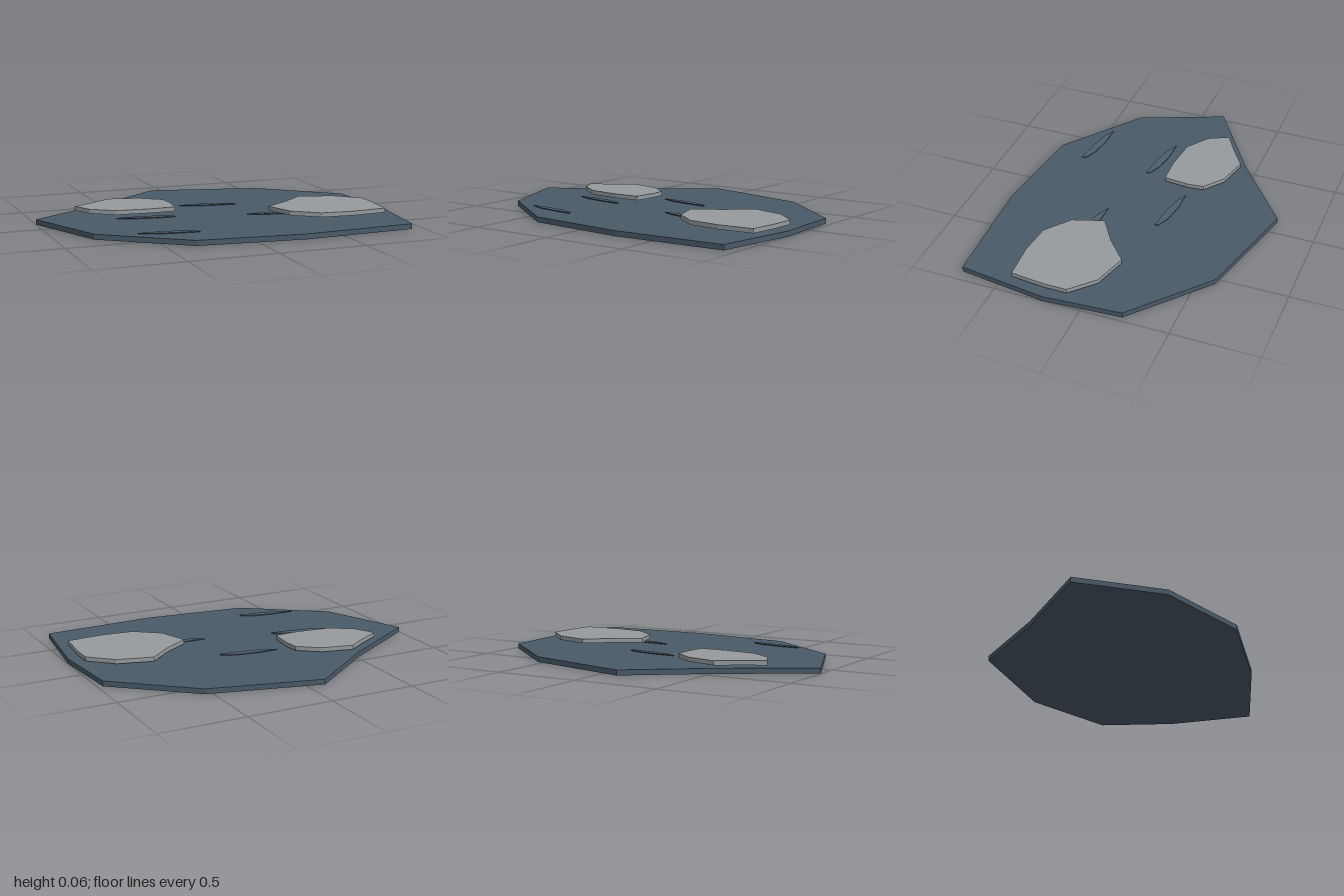
import * as THREE from 'three';

const material = (color) => new THREE.MeshStandardMaterial({ color, flatShading: true });

// Flat slab from an outline of [x, z] points, between two heights
function slab(name, outline, bottom, top, mat) {
  const shape = new THREE.Shape(outline.map(([x, z]) => new THREE.Vector2(x, -z)));
  const geometry = new THREE.ExtrudeGeometry(shape, { depth: top - bottom, bevelEnabled: false });
  geometry.rotateX(-Math.PI / 2).translate(0, bottom, 0);
  const mesh = new THREE.Mesh(geometry, mat);
  mesh.name = name;
  return mesh;
}

export function createModel() {
  const group = new THREE.Group();
  group.name = 'puddle';
  const water = material(0x4a5a68);
  const stone = material(0x969b9e);
  const rippleMat = material(0x4d5e6c);

  // Dark irregular base
  group.add(slab('base', [
    [-0.1, -0.76], [0.54, -0.6], [0.97, -0.23], [1, 0.22], [0.93, 0.725],
    [0.26, 0.755], [-0.34, 0.69], [-0.8, 0.35], [-1, -0.14], [-0.52, -0.44],
  ], 0, 0.03, water));

  // Two pale plates hovering just above the base
  group.add(slab('rightPlate', [
    [-0.74, -0.26], [-0.607, -0.337], [-0.495, -0.412], [-0.313, -0.369], [-0.195, -0.278],
    [-0.185, -0.187], [-0.2, -0.037], [-0.356, -0.032], [-0.553, -0.053], [-0.682, -0.144],
  ], 0.04, 0.065, stone));
  group.add(slab('leftPlate', [
    [0.313, 0.139], [0.468, 0.037], [0.602, -0.08], [0.805, -0.024], [0.938, 0.102],
    [0.938, 0.23], [0.917, 0.433], [0.703, 0.447], [0.516, 0.428], [0.372, 0.316],
  ], 0.04, 0.065, stone));

  // Slim curved ripples, all the same shape
  const ripple = [
    [0, 0], [0.128, 0.002], [0.25, 0.021], [0.325, 0.052],
    [0.33, 0.073], [0.2, 0.059], [0.08, 0.037],
  ];
  const starts = [[-0.115, -0.2], [-0.575, 0.025], [-0.585, 0.448], [0.163, 0.177]];
  starts.forEach(([x, z], i) => {
    const mesh = slab(`ripple${i + 1}`, ripple, 0.034, 0.039, rippleMat);
    mesh.position.set(x, 0, z);
    group.add(mesh);
  });

  return group;
}
